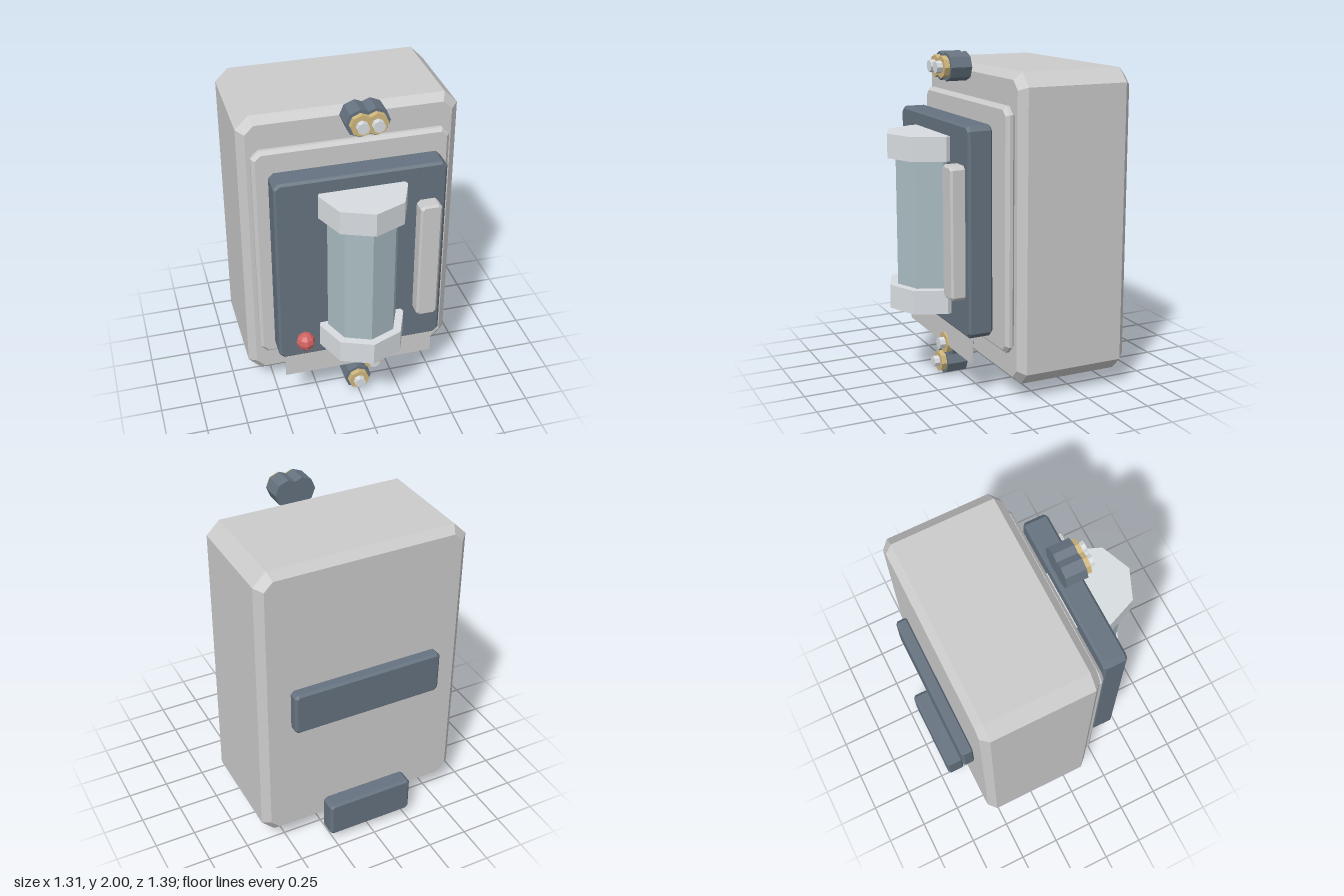
import * as THREE from 'three';

const material = (color) => new THREE.MeshStandardMaterial({ color, flatShading: true });

export function createModel() {
  const model = new THREE.Group();
  model.name = 'fuseBox';

  const grey = material(0xcccccc);
  const slate = material(0x667380);
  const steel = material(0xd8dde1);
  const glass = material(0xa9bcc2);
  const brass = material(0xcfb67c);
  const red = material(0xd06464);

  function add(name, geometry, mat, x = 0, y = 0, z = 0, parent = model) {
    const mesh = new THREE.Mesh(geometry, mat);
    mesh.name = name;
    mesh.position.set(x, y, z);
    parent.add(mesh);
    return mesh;
  }

  // Block with cut corners and chamfered front and back rims
  function block(name, mat, [x0, x1], [y0, y1], [z0, z1], cut, bevel) {
    const w = (x1 - x0) / 2 - bevel;
    const h = (y1 - y0) / 2 - bevel;
    const c = cut - bevel * (2 - Math.SQRT2);
    const shape = new THREE.Shape([
      [w, -h + c], [w, h - c], [w - c, h], [-w + c, h],
      [-w, h - c], [-w, -h + c], [-w + c, -h], [w - c, -h],
    ].map(([x, y]) => new THREE.Vector2(x, y)));
    const geometry = new THREE.ExtrudeGeometry(shape, {
      depth: z1 - z0 - 2 * bevel,
      bevelEnabled: true,
      bevelSegments: 1,
      bevelSize: bevel,
      bevelThickness: bevel,
    });
    return add(name, geometry, mat, (x0 + x1) / 2, (y0 + y1) / 2, z0 + bevel);
  }

  // Housing, raised panel and door
  block('housing', grey, [-0.657, 0.657], [0.09, 1.92], [-0.565, 0.155], 0.08, 0.045);
  block('frontPanel', grey, [-0.59, 0.59], [0.285, 1.73], [0.15, 0.21], 0.045, 0.02);
  block('door', slate, [-0.51, 0.51], [0.385, 1.625], [0.255, 0.407], 0.03, 0.014);
  block('doorHandle', grey, [0.33, 0.46], [0.61, 1.395], [0.395, 0.493], 0.02, 0.012);

  // Thin plate below the door
  add('labelPlate', new THREE.BoxGeometry(0.94, 0.165, 0.012), grey, 0, 0.3075, 0.374);

  // Mounting rails behind the housing
  block('upperRail', slate, [-0.473, 0.473], [0.87, 1.14], [-0.638, -0.56], 0.02, 0.014);
  block('lowerRail', slate, [-0.275, 0.275], [0.045, 0.28], [-0.698, -0.587], 0.02, 0.014);

  // Upright fuse: tube with a cap at each end
  const fuse = new THREE.Group();
  fuse.name = 'fuse';
  model.add(fuse);
  add('fuseTube', new THREE.CylinderGeometry(0.213, 0.213, 0.8, 8), glass, 0, 1.005, 0.433, fuse);
  const capGeometry = new THREE.CylinderGeometry(0.264, 0.264, 0.145, 8);
  for (const [name, y] of [['lowerCap', 0.547], ['upperCap', 1.463]]) {
    add(name, capGeometry, steel, 0, y, 0.433, fuse);
  }

  // Indicator lamp
  add('indicatorLamp', new THREE.SphereGeometry(0.058, 8, 6), red, -0.357, 0.53, 0.451);

  // Cable terminals: eight-sided gland, brass ring and pin, stacked toward the front
  const terminalParts = [
    ['gland', 0.085, 0.228, 0.358, slate],
    ['ring', 0.066, 0.358, 0.391, brass],
    ['pin', 0.036, 0.391, 0.426, steel],
  ].map(([name, r, z0, z1, mat]) => ({
    name, mat, z: (z0 + z1) / 2,
    geometry: new THREE.CylinderGeometry(r, r, z1 - z0, 8).rotateX(Math.PI / 2),
  }));
  for (const [x, y] of [[0, 1.917], [0.09, 1.917], [0.09, 0.235], [0, 0.085]]) {
    const terminal = new THREE.Group();
    terminal.name = 'terminal';
    terminal.position.set(x, y, 0);
    for (const p of terminalParts) add(p.name, p.geometry, p.mat, 0, 0, p.z, terminal);
    model.add(terminal);
  }

  return model;
}
